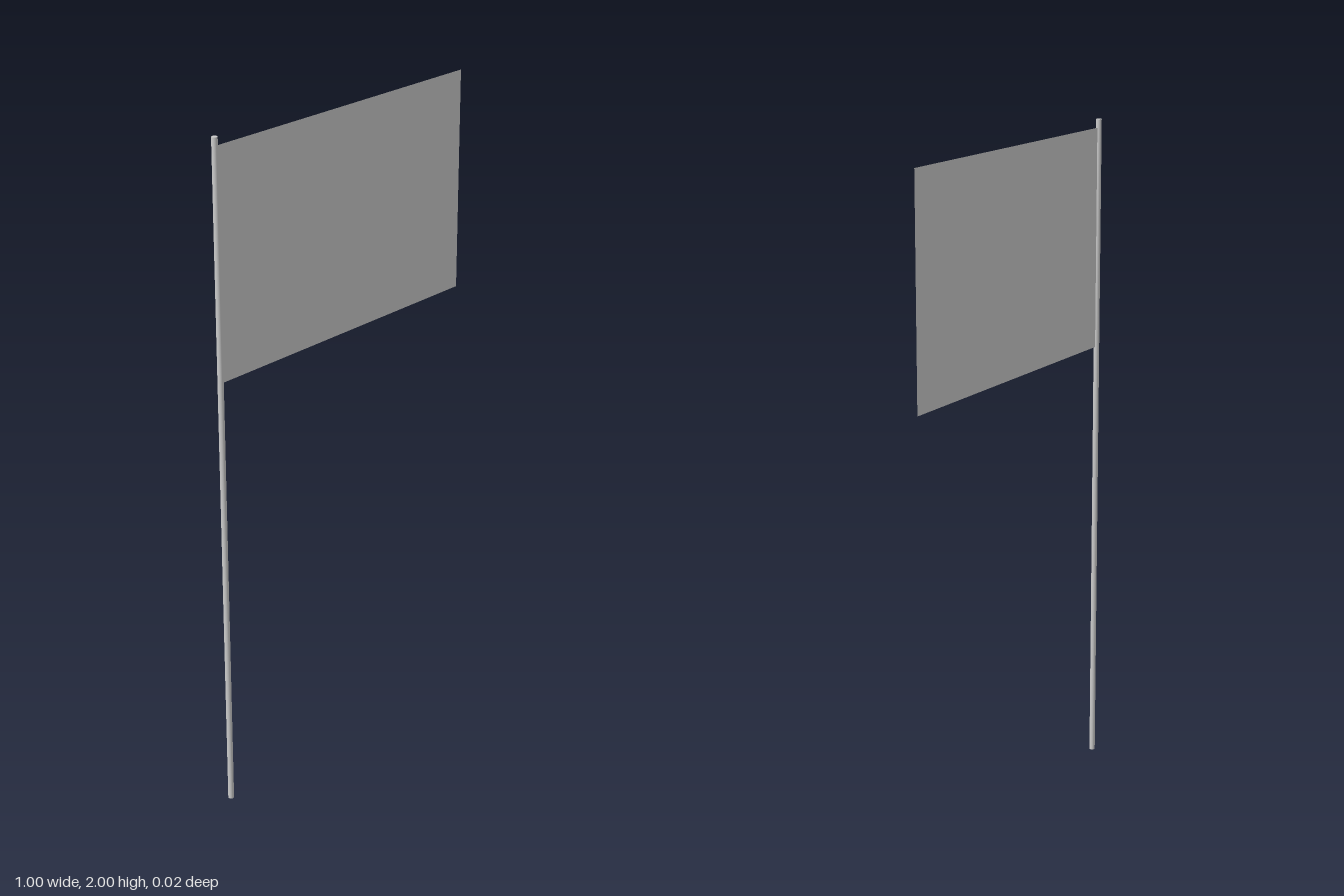
import * as THREE from 'three';

const POLE_RADIUS = 0.0085;
const POLE_HEIGHT = 2;
const POLE_X = -0.5 + POLE_RADIUS;
const FLAG_BOTTOM = 1.315;
const FLAG_TOP = 1.975;
const FLAG_END = 0.5;

export function createModel() {
  const model = new THREE.Group();
  model.name = 'flagOnPole';

  // Slender round pole with closed ends
  const pole = new THREE.Mesh(
    new THREE.CylinderGeometry(POLE_RADIUS, POLE_RADIUS, POLE_HEIGHT, 32),
    new THREE.MeshStandardMaterial({ color: 0xcccccc })
  );
  pole.name = 'pole';
  pole.position.set(POLE_X, POLE_HEIGHT / 2, 0);
  model.add(pole);

  // Flat sheet of cloth running out from the pole's axis
  const flag = new THREE.Mesh(
    new THREE.PlaneGeometry(FLAG_END - POLE_X, FLAG_TOP - FLAG_BOTTOM),
    new THREE.MeshStandardMaterial({ color: 0xcccccc, side: THREE.DoubleSide })
  );
  flag.name = 'flag';
  flag.position.set((POLE_X + FLAG_END) / 2, (FLAG_BOTTOM + FLAG_TOP) / 2, 0);
  model.add(flag);

  return model;
}
